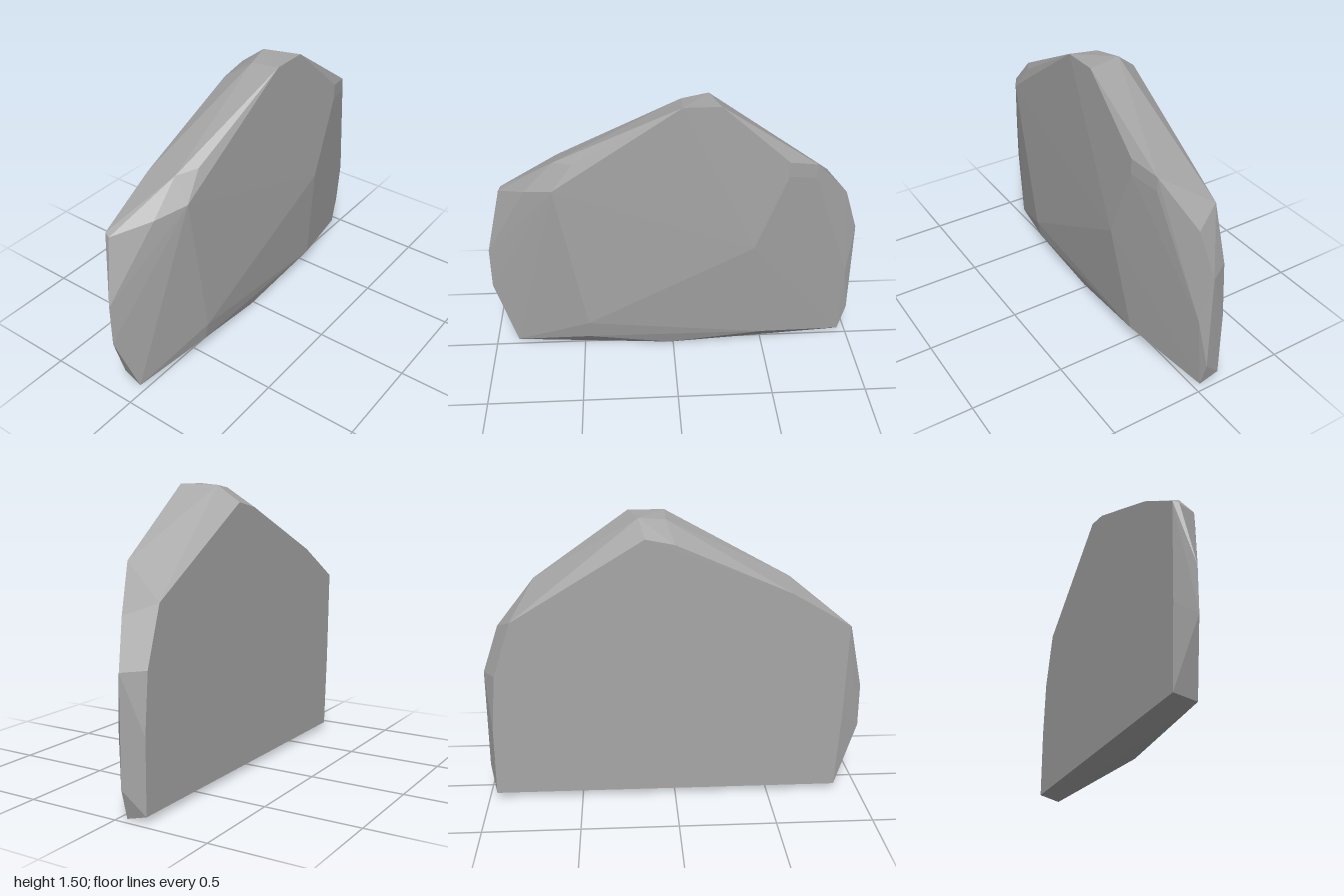
import * as THREE from 'three';
import { ConvexGeometry } from 'three/addons/geometries/ConvexGeometry.js';

// Flat stone slab: faceted hull around a back outline, a rim and a raised front
export function createModel() {
  const group = new THREE.Group();
  group.name = 'stoneSlab';

  const stone = new THREE.MeshStandardMaterial({ color: 0xa6a6a6 });
  stone.name = 'grey stone';

  // flat back outline, all at z = -0.15
  const back = [
    [-0.87, 0.03], [0.96, 0.03], [0.96, 0.4], [0.935, 0.7], [0.84, 0.99],
    [0.15, 1.41], [0, 1.38], [-0.6, 1.12], [-0.91, 0.94], [-0.895, 0.44],
  ].map(([x, y]) => [x, y, -0.15]);

  // widest rim, walking round from the lower left
  const rim = [
    [-0.88, 0, -0.04], [-0.02, 0, 0.035], [0.96, 0, -0.04],
    [1, 0.15, -0.04], [1, 0.69, -0.04], [0.92, 0.93, 0],
    [0.18, 1.495, -0.04], [0.04, 1.48, -0.01],
    [-0.61, 1.165, 0.03], [-0.77, 1, 0.03], [-0.92, 0.93, -0.12],
    [-1, 0.58, -0.08], [-1, 0.35, -0.08],
  ];

  // corners of the front facets
  const front = [
    [0.04, 1.5, 0.15], [0.23, 1.5, 0.15], [0.58, 1.19, 0.15], [0.58, 1.11, 0.15],
    [0.73, 1.155, 0.11], [0.73, 1.08, 0.11], [0.96, 0.43, 0], [0.42, 0.69, 0.15],
    [0.5, 0.08, 0.07], [-0.47, 0.08, 0.06], [-0.47, 0.19, 0.085],
    [-0.62, 1.04, 0.11], [-0.51, 1.18, 0.09],
  ];

  const points = [...back, ...rim, ...front].map((p) => new THREE.Vector3(...p));
  const slab = new THREE.Mesh(new ConvexGeometry(points), stone);
  slab.name = 'slab';
  group.add(slab);
  return group;
}
